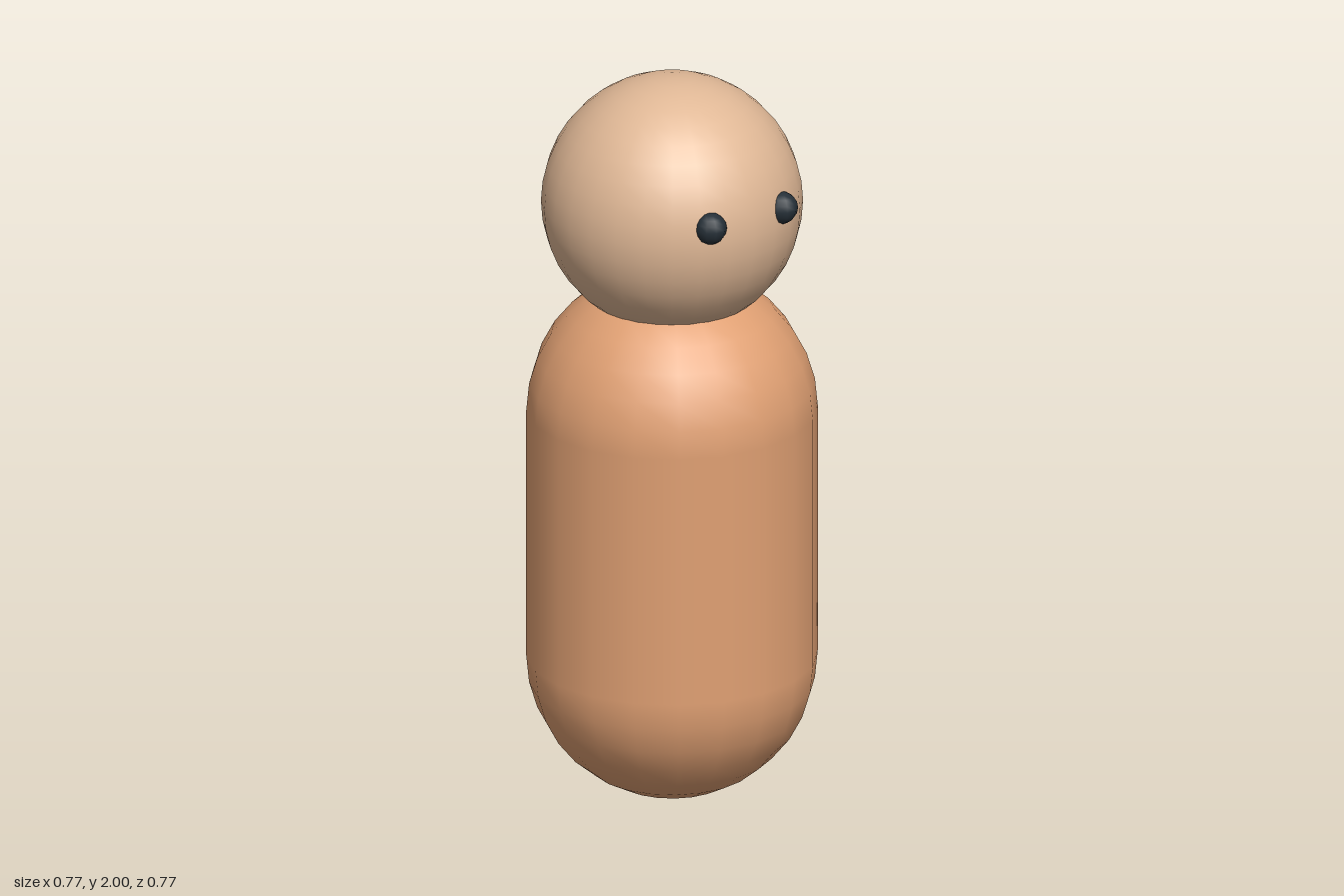
import * as THREE from 'three';

const BODY_R = 0.383, BODY_LEN = 0.69, HEAD_R = 0.344, EYE_R = 0.043;

export function createModel() {
  const model = new THREE.Group();
  model.name = 'figure';

  const clay = new THREE.MeshStandardMaterial({ name: 'clay orange', color: 0xe0a073 });
  const skin = new THREE.MeshStandardMaterial({ name: 'pale skin', color: 0xe0b896 });
  const dark = new THREE.MeshStandardMaterial({ name: 'eye dark', color: 0x263038 });

  const add = (name, geometry, material, x, y, z) => {
    const mesh = new THREE.Mesh(geometry, material);
    mesh.name = name;
    mesh.position.set(x, y, z);
    model.add(mesh);
  };

  // Upright capsule body standing on the ground
  add('body', new THREE.CapsuleGeometry(BODY_R, BODY_LEN, 8, 20), clay, 0, BODY_R + BODY_LEN / 2, 0);

  // Round head sunk into the top of the body
  add('head', new THREE.SphereGeometry(HEAD_R, 28, 20), skin, 0, 2 - HEAD_R, 0);

  // Bead eyes, mirrored and half sunk into the face
  const eye = new THREE.SphereGeometry(EYE_R, 10, 8);
  for (const side of [1, -1]) {
    add(side > 0 ? 'leftEye' : 'rightEye', eye, dark, side * 0.12, 1.7, 0.31);
  }

  return model;
}
